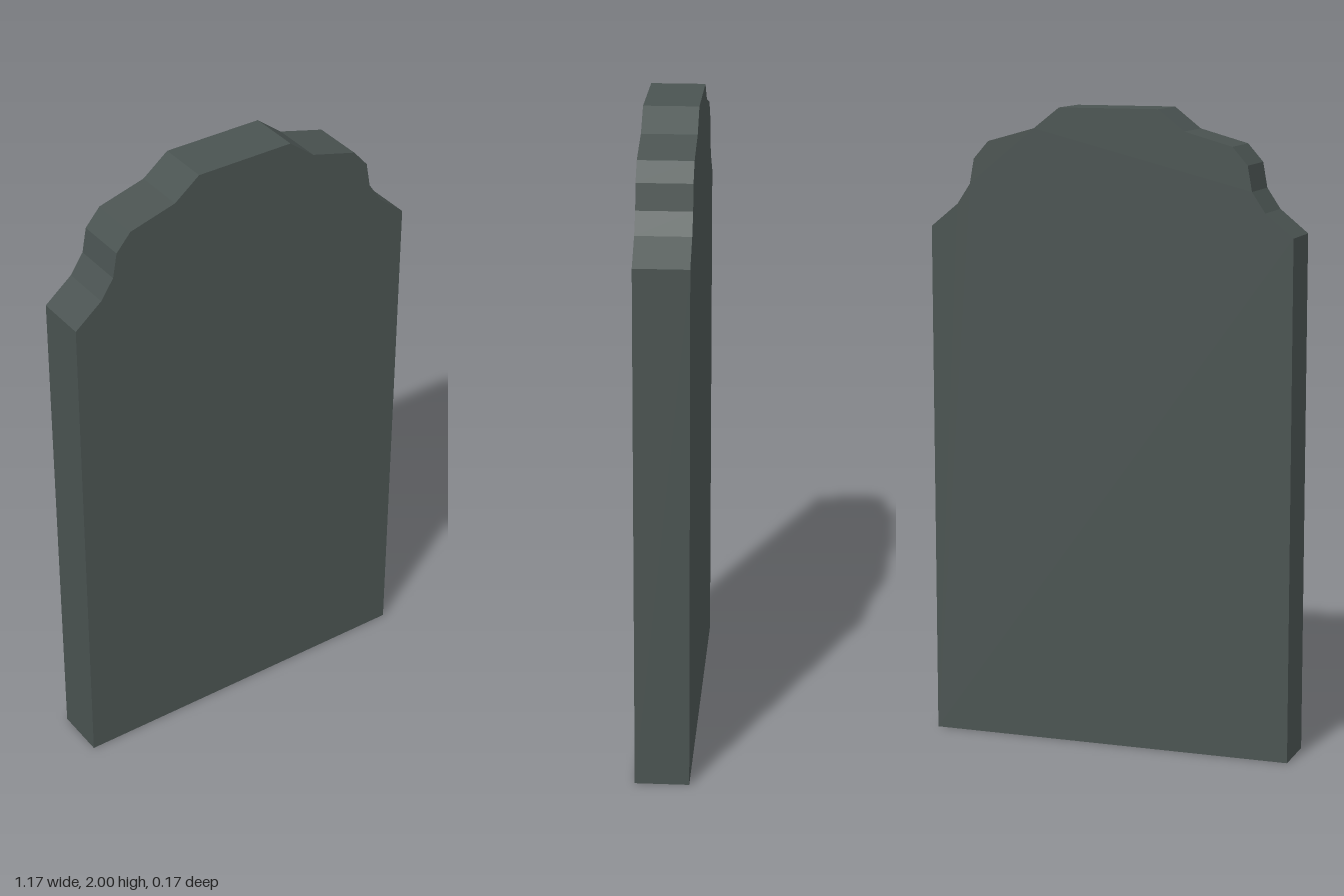
import * as THREE from 'three';

const DEPTH = 0.166;

// Right half of the slab outline, from the foot up to the crown
const HALF = [
  [0.585, 0], [0.585, 1.625], [0.497, 1.697], [0.455, 1.76],
  [0.441, 1.838], [0.393, 1.893], [0.242, 1.935], [0.159, 2],
];

export function createModel() {
  const group = new THREE.Group();
  group.name = 'headstone';

  const stone = new THREE.MeshStandardMaterial({ color: 0x4a5351 });
  stone.name = 'dark grey stone';

  // Mirror the half outline into a closed shape
  const mirrored = HALF.map(([x, y]) => [-x, y]).reverse();
  const outline = [...HALF, ...mirrored].map(([x, y]) => new THREE.Vector2(x, y));

  // Flat slab with crisp edges
  const geometry = new THREE.ExtrudeGeometry(new THREE.Shape(outline), {
    depth: DEPTH,
    bevelEnabled: false,
  });
  geometry.translate(0, 0, -DEPTH / 2);

  const slab = new THREE.Mesh(geometry, stone);
  slab.name = 'stoneSlab';
  group.add(slab);
  return group;
}
